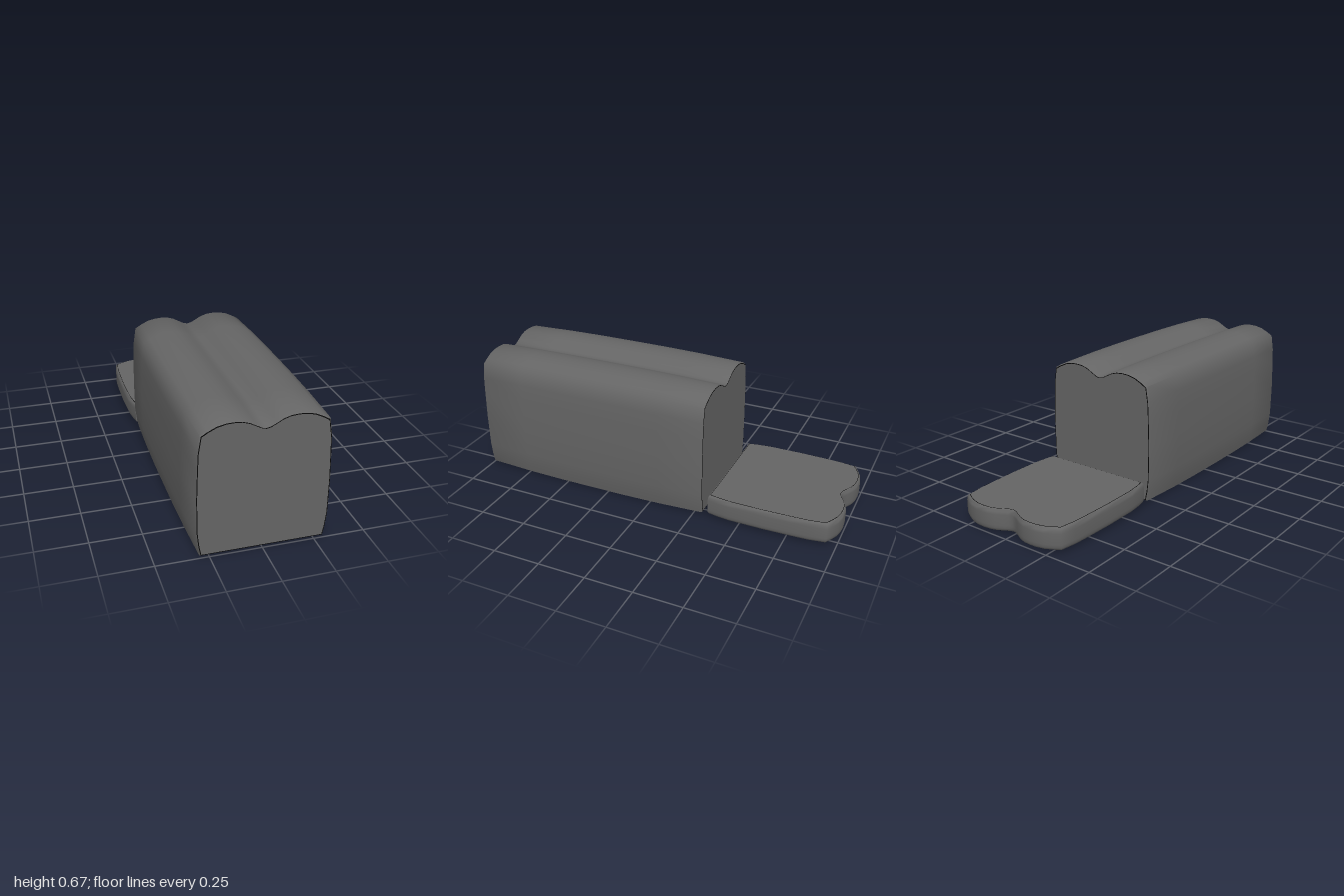
import * as THREE from 'three';
import { toCreasedNormals } from 'three/addons/utils/BufferGeometryUtils.js';

function flatColour(name, color) {
  const material = new THREE.MeshStandardMaterial({ color });
  material.name = name;
  return material;
}
const grey = flatColour('dark grey bread', 0x656565);
const black = flatColour('black crust edge', 0x060606);

// Right half of the bread outline, from bottom corner to the notch between the humps
const half = [
  [0.303, 0], [0.313, 0.05], [0.321, 0.12], [0.323, 0.3], [0.319, 0.45], [0.315, 0.54],
  [0.302, 0.623], [0.27, 0.642], [0.23, 0.661], [0.19, 0.67], [0.155, 0.672],
  [0.115, 0.669], [0.08, 0.658], [0.045, 0.639], [0.02, 0.626], [0, 0.622],
];
const outline = [...half, ...half.slice(0, -1).reverse().map(([x, y]) => [-x, y])];
const midY = 0.336;

// Outline scaled about its middle
const scaled = (s) => outline.map(([x, y]) => new THREE.Vector2(x * s, midY + (y - midY) * s));

// Skin stretched through rings of [z, scale]
function loft(name, rings, material) {
  const n = outline.length;
  const positions = [];
  const index = [];
  rings.forEach(([z, s], r) => {
    scaled(s).forEach((p) => positions.push(p.x, p.y, z));
    if (r === 0) return;
    for (let i = 0; i < n; i++) {
      const j = (i + 1) % n;
      const a = (r - 1) * n + i, b = (r - 1) * n + j, c = r * n + j, d = r * n + i;
      index.push(a, b, c, a, c, d);
    }
  });
  const skin = new THREE.BufferGeometry();
  skin.setAttribute('position', new THREE.Float32BufferAttribute(positions, 3));
  skin.setIndex(index);
  const mesh = new THREE.Mesh(toCreasedNormals(skin, 1.0), material);
  mesh.name = name;
  return mesh;
}

// Crust skin, a thin dark edge around each end (first and last ring pair) and flat cut faces
function breadPart(name, rings) {
  const group = new THREE.Group();
  group.name = name;
  group.add(
    loft(name + 'Crust', rings.slice(1, -1), grey),
    loft(name + 'BackEdge', rings.slice(0, 2), black),
    loft(name + 'FrontEdge', rings.slice(-2), black),
  );
  [rings[0], rings[rings.length - 1]].forEach(([z, s], k) => {
    const cap = new THREE.Mesh(new THREE.ShapeGeometry(new THREE.Shape(scaled(s))), grey);
    cap.name = name + (k ? 'FrontFace' : 'BackFace');
    cap.position.z = z;
    if (!k) cap.rotation.y = Math.PI;
    group.add(cap);
  });
  return group;
}

export function createModel() {
  const model = new THREE.Group();
  model.name = 'slicedBread';

  // Long loaf, swelling slightly towards its middle
  model.add(breadPart('loaf', [
    [-0.297, 0.948], [-0.296, 0.96], [-0.289, 0.973], [-0.05, 0.992], [0.15, 0.999], [0.35, 1],
    [0.55, 0.999], [0.75, 0.992], [0.992, 0.973], [0.999, 0.96], [1, 0.948],
  ]));

  // Slice lying flat behind the loaf, humps pointing backwards
  const slice = breadPart('slice', [
    [0, 0.96], [0.001, 0.967], [0.005, 0.984], [0.015, 0.996], [0.03, 1],
    [0.085, 1], [0.1, 0.996], [0.11, 0.984], [0.114, 0.967], [0.115, 0.96],
  ]);
  slice.rotation.x = -Math.PI / 2;
  slice.position.set(0, 0.013, -0.328);
  model.add(slice);
  return model;
}
